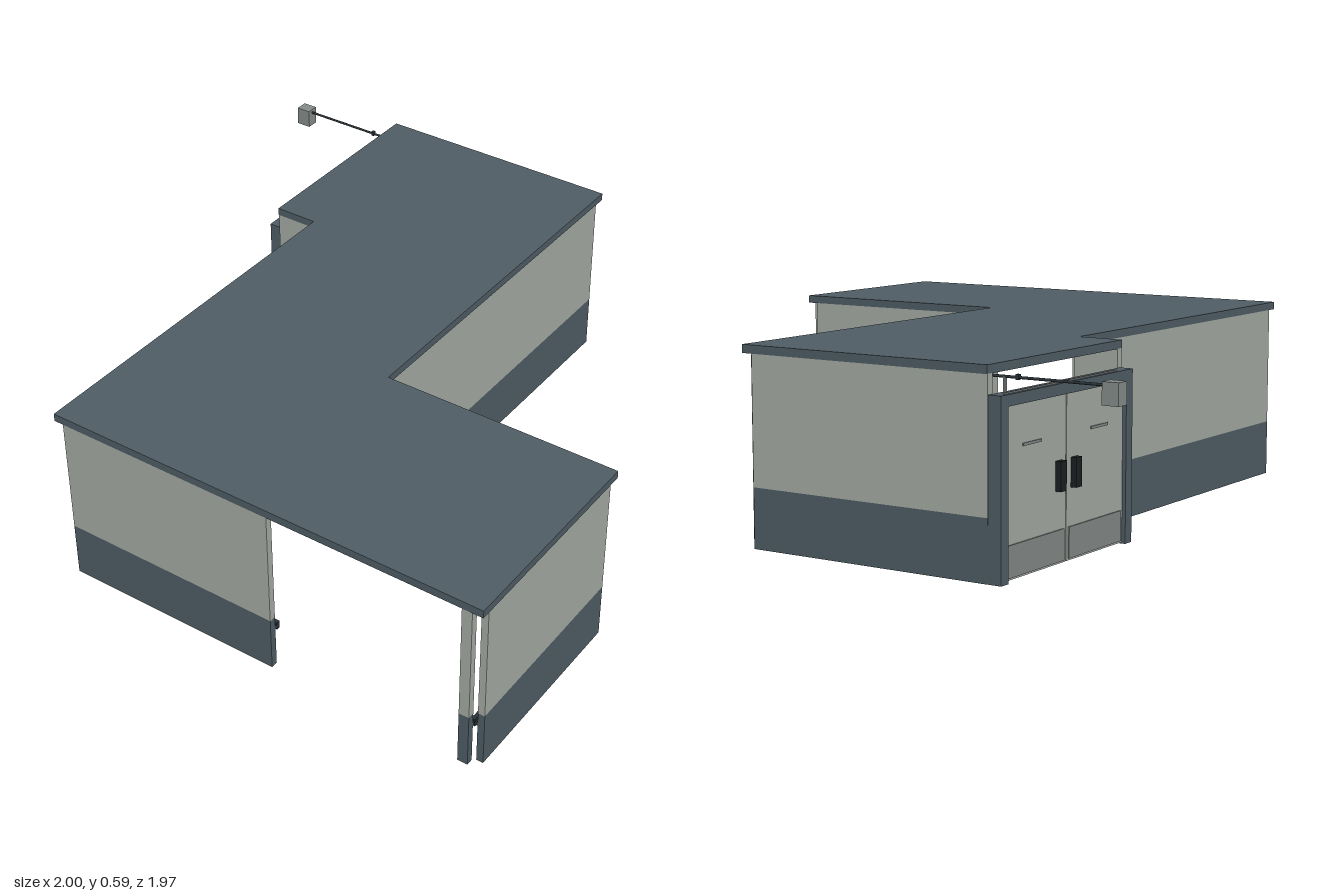
import * as THREE from 'three';

const mat = (name, color) => {
  const m = new THREE.MeshStandardMaterial({ color });
  m.name = name;
  return m;
};

export function createModel() {
  const slate = mat('slate', 0x4f5d65);
  const wallGrey = mat('pale grey', 0xa6aba4);
  const kickGrey = mat('kick plate grey', 0x848886);
  const railDark = mat('rail charcoal', 0x2a3337);
  const handleDark = mat('handle black', 0x1c2022);
  const deviceGrey = mat('device grey', 0x858d8a);

  const model = new THREE.Group();
  model.name = 'corridor';

  // Box given by its limits on each axis
  const box = (name, material, [x0, x1], [y0, y1], [z0, z1], parent = model) => {
    const mesh = new THREE.Mesh(new THREE.BoxGeometry(x1 - x0, y1 - y0, z1 - z0), material);
    mesh.position.set((x0 + x1) / 2, (y0 + y1) / 2, (z0 + z1) / 2);
    mesh.name = name;
    parent.add(mesh);
    return mesh;
  };

  // Z-shaped roof slab
  const outline = [[-0.62, -0.985], [0.22, -0.985], [0.22, 0.285], [1, 0.285],
    [1, 0.985], [-0.475, 0.985], [-0.475, -0.29], [-0.62, -0.29]];
  const shape = new THREE.Shape(outline.map(([x, z]) => new THREE.Vector2(x, z)));
  const roofGeo = new THREE.ExtrudeGeometry(shape, { depth: 0.025, bevelEnabled: false });
  roofGeo.rotateX(Math.PI / 2);
  const roof = new THREE.Mesh(roofGeo, slate);
  roof.position.y = 0.59;
  roof.name = 'roof';
  model.add(roof);

  // Two-tone wall panels; 'inside' is the side that carries the handrail
  const T = 0.022, SPLIT = 0.18, TOP = 0.566;
  const wall = (name, axis, from, to, outer, inside, rail = true) => {
    const g = new THREE.Group();
    g.name = name;
    const inner = outer + inside * T;
    const range = (a, b) => [Math.min(a, b), Math.max(a, b)];
    const put = (part, m, y, along, across) => axis === 'x'
      ? box(part, m, along, y, across, g)
      : box(part, m, across, y, along, g);
    put('lowerPanel', slate, [0, SPLIT], [from, to], range(outer, inner));
    put('upperPanel', wallGrey, [SPLIT, TOP], [from, to], range(outer, inner));
    if (rail) {
      put('handrail', railDark, [0.125, 0.15], [from, to],
        range(inner + inside * 0.008, inner + inside * 0.02));
      put('railBacking', railDark, [0.132, 0.143], [from, to],
        range(inner, inner + inside * 0.008));
    }
    model.add(g);
  };
  wall('frontWall', 'x', -0.445, 0.293, 0.983, -1);
  wall('frontStub', 'x', 0.932, 0.965, 0.983, -1);
  wall('leftEndWall', 'z', 0.318, 0.953, 0.997, -1);
  wall('innerCornerWall', 'x', 0.225, 0.965, 0.288, 1);
  wall('leftLongWall', 'z', -0.95, 0.286, 0.217, -1);
  wall('backWall', 'x', -0.62, 0.188, -0.983, 1);
  wall('rightLongWall', 'z', -0.288, 0.953, -0.473, 1);
  wall('doorReturnWall', 'x', -0.62, -0.474, -0.292, -1);

  // Ceiling strip and pipe along the inner corner wall
  box('ceilingStrip', kickGrey, [0.22, 0.93], [0.535, 0.553], [0.31, 0.33]);
  const rod = (name, x0, x1, y, z) => {
    const m = new THREE.Mesh(new THREE.CylinderGeometry(0.004, 0.004, x1 - x0, 10), railDark);
    m.rotation.z = Math.PI / 2;
    m.position.set((x0 + x1) / 2, y, z);
    m.name = name;
    model.add(m);
  };
  rod('ceilingPipe', 0.22, 0.88, 0.553, 0.345);
  for (const x of [0.56, 0.88]) box('pipeBracket', railDark, [x - 0.006, x + 0.006], [0.547, 0.566], [0.339, 0.351]);

  // Wall service panel
  box('servicePanel', deviceGrey, [-0.452, -0.444], [0.21, 0.36], [-0.08, 0.04]);
  for (let i = 0; i < 3; i++) {
    box('panelSlot', kickGrey, [-0.445, -0.441], [0.24 + i * 0.035, 0.255 + i * 0.035], [-0.06, 0.02]);
  }

  // Double door with frame
  const door = new THREE.Group();
  door.name = 'doubleDoor';
  model.add(door);
  const z0 = -0.982, z1 = -0.298, mid = (z0 + z1) / 2;
  box('doorPost', slate, [-0.662, -0.62], [0, 0.51], [z0, z0 + 0.035], door);
  box('doorPost', slate, [-0.662, -0.62], [0, 0.51], [z1 - 0.035, z1], door);
  box('doorHeader', slate, [-0.662, -0.62], [0.478, 0.51], [z0 + 0.035, z1 - 0.035], door);
  box('headerTrack', kickGrey, [-0.652, -0.646], [0.51, 0.514], [-0.95, -0.37], door);
  for (const s of [-1, 1]) {
    const span = (a, b) => [mid + Math.min(s * a, s * b), mid + Math.max(s * a, s * b)];
    box('doorLeaf', wallGrey, [-0.65, -0.63], [0.004, 0.478], span(0.002, 0.307), door);
    box('kickPlate', kickGrey, [-0.654, -0.65], [0.01, 0.1], span(0.012, 0.297), door);
    box('doorHandle', handleDark, [-0.668, -0.65], [0.21, 0.295], span(0.025, 0.055), door);
    box('doorLabelPlate', kickGrey, [-0.653, -0.65], [0.36, 0.368], span(0.13, 0.22), door);
  }

  // Device on a long arm above the door
  rod('deviceArm', -0.955, -0.6, 0.555, -0.93);
  box('armBracket', deviceGrey, [-0.643, -0.637], [0.51, 0.555], [-0.935, -0.925]);
  box('armClip', railDark, [-0.686, -0.676], [0.549, 0.564], [-0.936, -0.924]);
  box('hangingDevice', deviceGrey, [-1, -0.95], [0.505, 0.567], [-0.952, -0.91]);

  return model;
}
